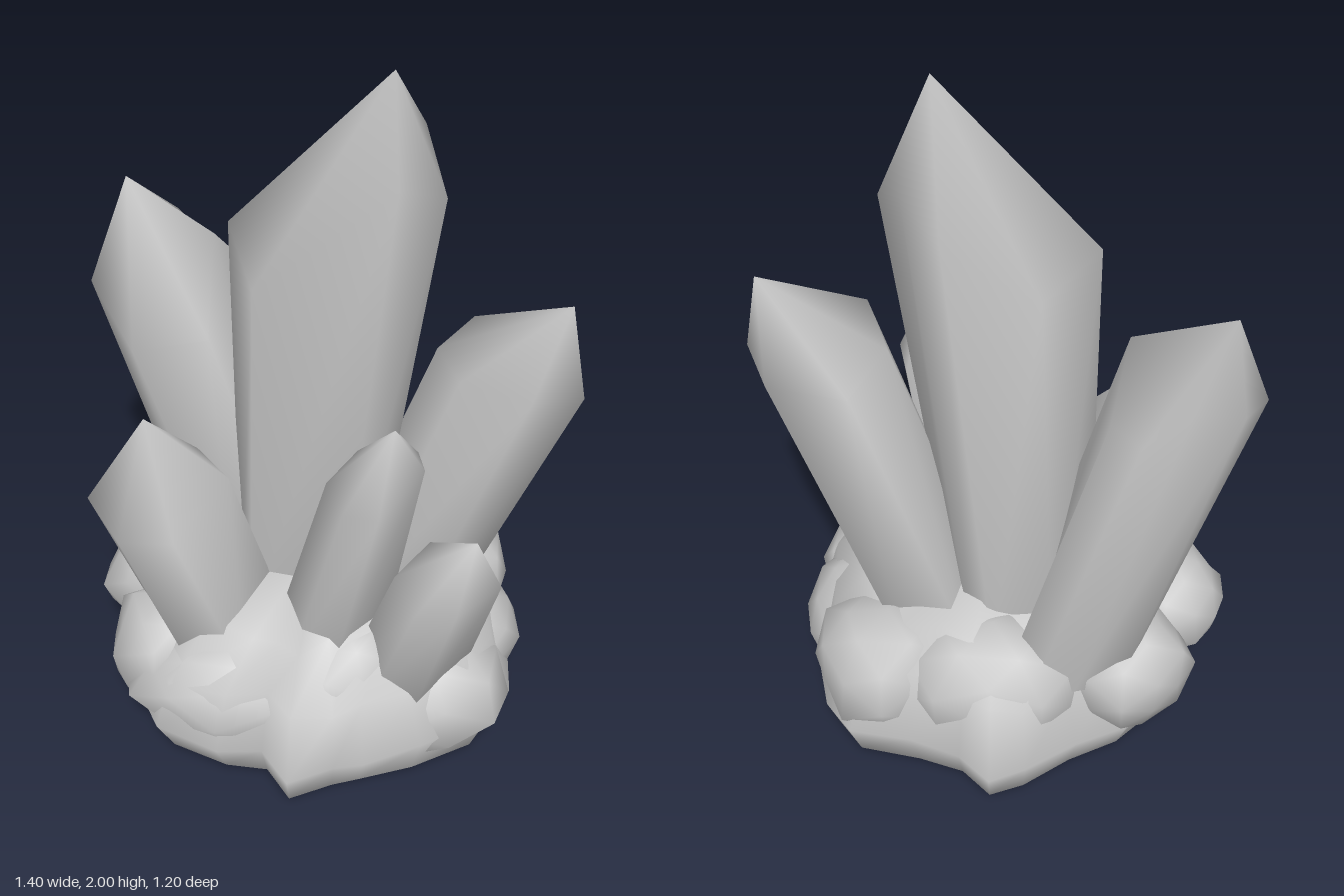
import * as THREE from 'three';
import { mergeVertices } from 'three/addons/utils/BufferGeometryUtils.js';

const stone = new THREE.MeshStandardMaterial({ color: 0xc4c4c4 });
stone.name = 'paleGrey';

// Small seeded random generator, returning -1 to 1
function seeded(seed) {
  return () => {
    seed = (seed * 16807) % 2147483647;
    return (seed / 2147483647) * 2 - 1;
  };
}

// Smooth skin through rings of points (counterclockwise from above), closed by two end points
function loft(bottom, rings, top) {
  const n = rings[0].length;
  const points = [bottom, ...rings.flat(), top];
  const last = points.length - 1;
  const at = (r, i) => 1 + r * n + (i % n);
  const index = [];
  for (let i = 0; i < n; i++) {
    index.push(0, at(0, i + 1), at(0, i));
    for (let r = 0; r < rings.length - 1; r++) {
      const a = at(r, i), b = at(r, i + 1), c = at(r + 1, i + 1), d = at(r + 1, i);
      index.push(a, b, c, a, c, d);
    }
    index.push(at(rings.length - 1, i), at(rings.length - 1, i + 1), last);
  }
  const geo = new THREE.BufferGeometry();
  geo.setAttribute('position', new THREE.Float32BufferAttribute(points.flat(), 3));
  geo.setIndex(index);
  geo.computeVertexNormals();
  return geo;
}

// Crystal: shoulder corners, off-centre tip, and a root section scaled from the shoulders
function crystal(shoulder, tip, root, scaleX, scaleZ) {
  const mean = [0, 1, 2].map(k => shoulder.reduce((s, p) => s + p[k], 0) / shoulder.length);
  const foot = shoulder.map(p => [
    root[0] + (p[0] - mean[0]) * scaleX,
    root[1],
    root[2] + (p[2] - mean[2]) * scaleZ,
  ]);
  return loft(root, [foot, shoulder], tip);
}

// Lumpy boulder, flattened where it meets the ground
function boulder([x, y, z, rx, ry, rz], seed) {
  const rand = seeded(seed);
  let geo = new THREE.IcosahedronGeometry(1, 1);
  geo.deleteAttribute('normal');
  geo.deleteAttribute('uv');
  geo = mergeVertices(geo, 1e-3);
  const pos = geo.attributes.position;
  for (let i = 0; i < pos.count; i++) {
    const k = 1 + rand() * 0.1;
    pos.setXYZ(i,
      x + pos.getX(i) * rx * k,
      Math.max(0.005, y + pos.getY(i) * ry * k),
      z + pos.getZ(i) * rz * k);
  }
  geo.computeVertexNormals();
  return geo;
}

export function createModel() {
  const model = new THREE.Group();
  model.name = 'crystalCluster';
  const add = (name, geo, parent = model) => {
    const mesh = new THREE.Mesh(geo, stone);
    mesh.name = name;
    parent.add(mesh);
  };

  // Crystals
  add('mainCrystal', crystal(
    [[0.31, 1.66, -0.03], [0.23, 1.77, -0.21], [0.13, 1.66, -0.265], [-0.12, 1.51, -0.268],
      [-0.26, 1.53, -0.04], [-0.155, 1.46, 0.17], [0.21, 1.77, 0.155]],
    [0.17, 2, -0.03], [-0.05, 0.3, -0.08], 0.68, 0.97));
  add('rightCrystal', crystal(
    [[0.7, 1.13, 0.03], [0.6, 1.18, -0.22], [0.38, 1.17, -0.25],
      [0.3, 1.19, -0.05], [0.38, 1.22, 0.14], [0.57, 1.2, 0.17]],
    [0.65, 1.385, -0.015], [0.17, 0.3, -0.05], 0.95, 1));
  add('backLeftCrystal', crystal(
    [[-0.34, 1.385, -0.21], [-0.3, 1.22, -0.36], [-0.38, 1.2, -0.425], [-0.5, 1.32, -0.435],
      [-0.63, 1.29, -0.395], [-0.7, 1.2, -0.2], [-0.53, 1.12, 0.01], [-0.33, 1.14, -0.05]],
    [-0.6, 1.5, -0.28], [-0.2, 0.3, -0.24], 0.95, 0.95));
  add('frontLeftCrystal', crystal(
    [[-0.23, 0.86, 0.19], [-0.35, 0.84, 0.05], [-0.48, 0.8, 0.0],
      [-0.63, 0.75, 0.21], [-0.49, 0.77, 0.4], [-0.34, 0.77, 0.385]],
    [-0.455, 1.04, 0.2], [-0.25, 0.25, 0.14], 1, 1));
  add('frontCrystal', crystal(
    [[0.31, 1.0, 0.24], [0.28, 0.98, 0.14], [0.12, 0.98, 0.16],
      [0.05, 0.93, 0.25], [0.11, 0.91, 0.35], [0.21, 0.93, 0.385]],
    [0.235, 1.16, 0.29], [0.04, 0.3, 0.19], 1.2, 1.2));
  add('frontRightCrystal', crystal(
    [[0.535, 0.68, 0.3], [0.46, 0.74, 0.22], [0.33, 0.74, 0.22],
      [0.25, 0.7, 0.33], [0.32, 0.66, 0.43], [0.43, 0.69, 0.45]],
    [0.465, 0.85, 0.33], [0.27, 0.25, 0.22], 1.15, 1.25));

  // Rocky base: one outline repeated at several heights with a little unevenness
  const base = new THREE.Group();
  base.name = 'rockBase';
  model.add(base);
  const outline = [[0.585, 0.14], [0.54, -0.18], [0.48, -0.37], [0.4, -0.47], [0.22, -0.49],
    [0.08, -0.55], [-0.01, -0.605], [-0.11, -0.57], [-0.25, -0.47], [-0.39, -0.38],
    [-0.49, -0.26], [-0.55, -0.12], [-0.59, 0.05], [-0.55, 0.22], [-0.47, 0.38], [-0.4, 0.475],
    [-0.22, 0.53], [-0.09, 0.52], [0, 0.605], [0.12, 0.54], [0.2, 0.5], [0.35, 0.43], [0.52, 0.3]];
  const rand = seeded(77);
  const levels = [[0, 0.45, 0, 0], [0, 0.8, 0, 0.03], [0.035, 0.92, 0.01, 0.02],
    [0.15, 0.99, 0.025, 0.01], [0.32, 0.89, 0.03, 0.03], [0.43, 0.66, 0.03, 0.04]];
  const rings = levels.map(([y, size, dy, dr]) => outline.map(([x, z]) => {
    const k = size + rand() * dr;
    return [x * k, y + rand() * dy, z * k];
  }));
  add('baseRock', loft([0, 0, 0], rings, [0, 0.55, 0]), base);

  // Boulders bulging out of the base
  [
    [-0.22, 0.21, 0.31, 0.3, 0.19, 0.2],
    [0.28, 0.19, 0.2, 0.29, 0.19, 0.23],
    [0.08, 0.26, 0.24, 0.24, 0.21, 0.24],
    [-0.485, 0.31, -0.01, 0.18, 0.17, 0.17],
    [-0.37, 0.28, -0.25, 0.19, 0.19, 0.19],
    [0, 0.25, -0.32, 0.28, 0.22, 0.2],
    [0.3, 0.24, -0.26, 0.23, 0.21, 0.22],
    [0.4, 0.2, -0.02, 0.18, 0.18, 0.22],
    [-0.42, 0.25, 0.22, 0.17, 0.18, 0.18],
  ].forEach((spec, i) => add('boulder' + (i + 1), boulder(spec, 101 + i * 37), base));

  return model;
}
